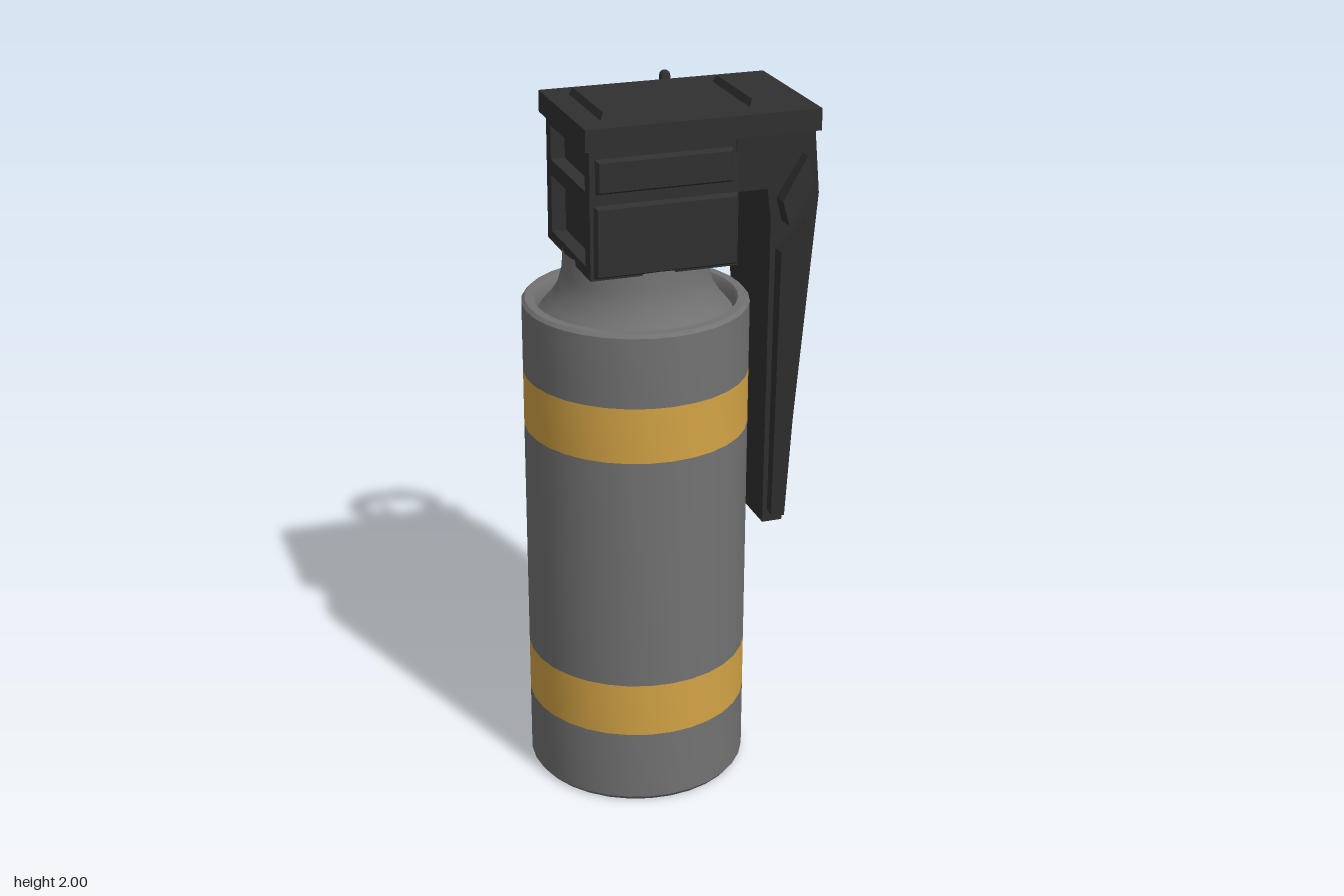
import * as THREE from 'three';
import { toCreasedNormals } from 'three/addons/utils/BufferGeometryUtils.js';

const CX = -0.075, CZ = 0.117; // axis of the canister

const paint = (name, color) => {
  const m = new THREE.MeshStandardMaterial({ color });
  m.name = name;
  return m;
};
const V2 = (pts) => pts.map(([x, y]) => new THREE.Vector2(x, y));

export function createModel() {
  const model = new THREE.Group();
  model.name = 'canisterGrenade';
  const gray = paint('gray metal', 0x727272);
  const gold = paint('gold band', 0xd2a345);
  const black = paint('black plastic', 0x303030);

  const add = (name, geo, mat, parent = model) => {
    const mesh = new THREE.Mesh(toCreasedNormals(geo, 0.6), mat);
    mesh.name = name;
    parent.add(mesh);
    return mesh;
  };
  // Box given by its limits on each axis
  const box = (name, [x0, x1], [y0, y1], [z0, z1], mat = black) =>
    add(name, new THREE.BoxGeometry(x1 - x0, y1 - y0, z1 - z0)
      .translate((x0 + x1) / 2, (y0 + y1) / 2, (z0 + z1) / 2), mat);
  // Box with a bevelled rim, growing out along +z before being turned
  const panelGeo = (w, h, d, bevel) => {
    const g = new THREE.BoxGeometry(w, h, d).translate(0, 0, d / 2);
    const p = g.attributes.position;
    for (let i = 0; i < p.count; i++) {
      if (p.getZ(i) > d / 2) {
        p.setX(i, p.getX(i) - Math.sign(p.getX(i)) * bevel);
        p.setY(i, p.getY(i) - Math.sign(p.getY(i)) * bevel);
      }
    }
    return g;
  };
  const lathe = (name, pts, mat) =>
    add(name, new THREE.LatheGeometry(V2(pts), 32).translate(CX, 0, CZ), mat);

  // Canister: hollow base, wall with two bands, rim, groove and neck
  const R = 0.315;
  lathe('canisterBase', [[0, 0.1], [0.1, 0.092], [0.2, 0.068], [0.275, 0.03], [0.28, 0.005],
    [0.288, 0], [0.306, 0], [R, 0.012], [R, 0.22]], gray);
  lathe('lowerBand', [[R, 0.22], [R, 0.38]], gold);
  lathe('canisterWall', [[R, 0.38], [R, 1.07]], gray);
  lathe('upperBand', [[R, 1.07], [R, 1.23]], gold);
  lathe('canisterTop', [[R, 1.23], [R, 1.43], [0.306, 1.44], [0.283, 1.44], [0.275, 1.43],
    [0.27, 1.40], [0.24, 1.435], [0.215, 1.475], [0.203, 1.52], [0.2, 1.58]], gray);

  // Fuse head: core with a windowed frame on its right end
  const hz = 0.195;
  box('headCore', [-0.225, 0.148], [1.565, 1.93], [CZ - hz, CZ + hz]);
  const rect = (Kind, x, y0, y1) => new Kind(V2([[-x, y0], [x, y0], [x, y1], [-x, y1]]));
  const frame = rect(THREE.Shape, hz, 1.565, 1.93);
  frame.holes.push(rect(THREE.Path, 0.155, 1.595, 1.755), rect(THREE.Path, 0.155, 1.8, 1.895));
  add('headFrame', new THREE.ExtrudeGeometry(frame, { depth: 0.04, bevelEnabled: false })
    .rotateY(-Math.PI / 2).translate(-0.225, 0, CZ), black);

  // Raised panels on both sides of the head
  for (const side of [1, -1]) {
    for (const [name, x0, x1, y0, y1] of [['upperSidePanel', -0.25, 0.13, 1.8, 1.895],
      ['lowerSidePanel', -0.255, 0.145, 1.57, 1.77]]) {
      add(name, panelGeo(x1 - x0, y1 - y0, 0.014, 0.008).rotateY(side > 0 ? 0 : Math.PI)
        .translate((x0 + x1) / 2, (y0 + y1) / 2, CZ + side * hz), black);
    }
  }

  // Top plate with two raised pads
  box('topPlate', [-0.28, 0.375], [1.92, 1.98], [-0.095, 0.327]);
  for (const [x0, x1] of [[-0.215, 0.095], [0.198, 0.308]]) {
    add('topPad', panelGeo(x1 - x0, 0.28, 0.02, 0.008).rotateX(-Math.PI / 2)
      .translate((x0 + x1) / 2, 1.98, 0.115), black);
  }

  // Lever parts: a side profile whose width follows a rule over height
  const tapered = (name, pts, halfWidth) => {
    const g = new THREE.ExtrudeGeometry(new THREE.Shape(V2(pts)),
      { depth: 2, bevelEnabled: false }).translate(0, 0, -1);
    const p = g.attributes.position;
    for (let i = 0; i < p.count; i++) p.setZ(i, CZ + p.getZ(i) * halfWidth(p.getY(i)));
    add(name, g, black);
  };
  const leverHalf = (y) => 0.068 + (y - 0.715) * 0.11;
  tapered('lever', [[0.14, 1.765], [0.235, 1.765], [0.25, 1.68], [0.29, 0.715], [0.35, 0.715],
    [0.385, 1.74], [0.36, 1.93], [0.14, 1.93]], leverHalf);
  tapered('leverSideStrips', [[0.27, 1.59], [0.302, 0.755], [0.343, 0.745], [0.348, 1.675]],
    (y) => leverHalf(y) + 0.033 + (y - 0.745) * 0.012);
  tapered('leverEars', [[0.262, 1.74], [0.282, 1.67], [0.354, 1.78], [0.33, 1.86]], () => 0.23);

  // Safety pin, bent up through the ring
  const pin = new THREE.CatmullRomCurve3([[1.8, -0.06], [1.82, -0.125], [1.88, -0.166], [1.965, -0.187]]
    .map(([y, z]) => new THREE.Vector3(0.115, y, z)));
  add('safetyPin', new THREE.TubeGeometry(pin, 10, 0.017, 8), black);
  const cap = add('safetyPinTip', new THREE.SphereGeometry(0.017, 8, 6), black);
  cap.position.copy(pin.getPoint(1));

  // Pull ring, tilted down to the back and to the left
  const ring = add('pullRing', new THREE.TorusGeometry(0.135, 0.033, 8, 16), gray);
  ring.position.set(0.127, 1.842, -0.268);
  ring.quaternion.setFromUnitVectors(new THREE.Vector3(0, 0, 1),
    new THREE.Vector3(0.22, 0.92, -0.3).normalize());

  return model;
}
